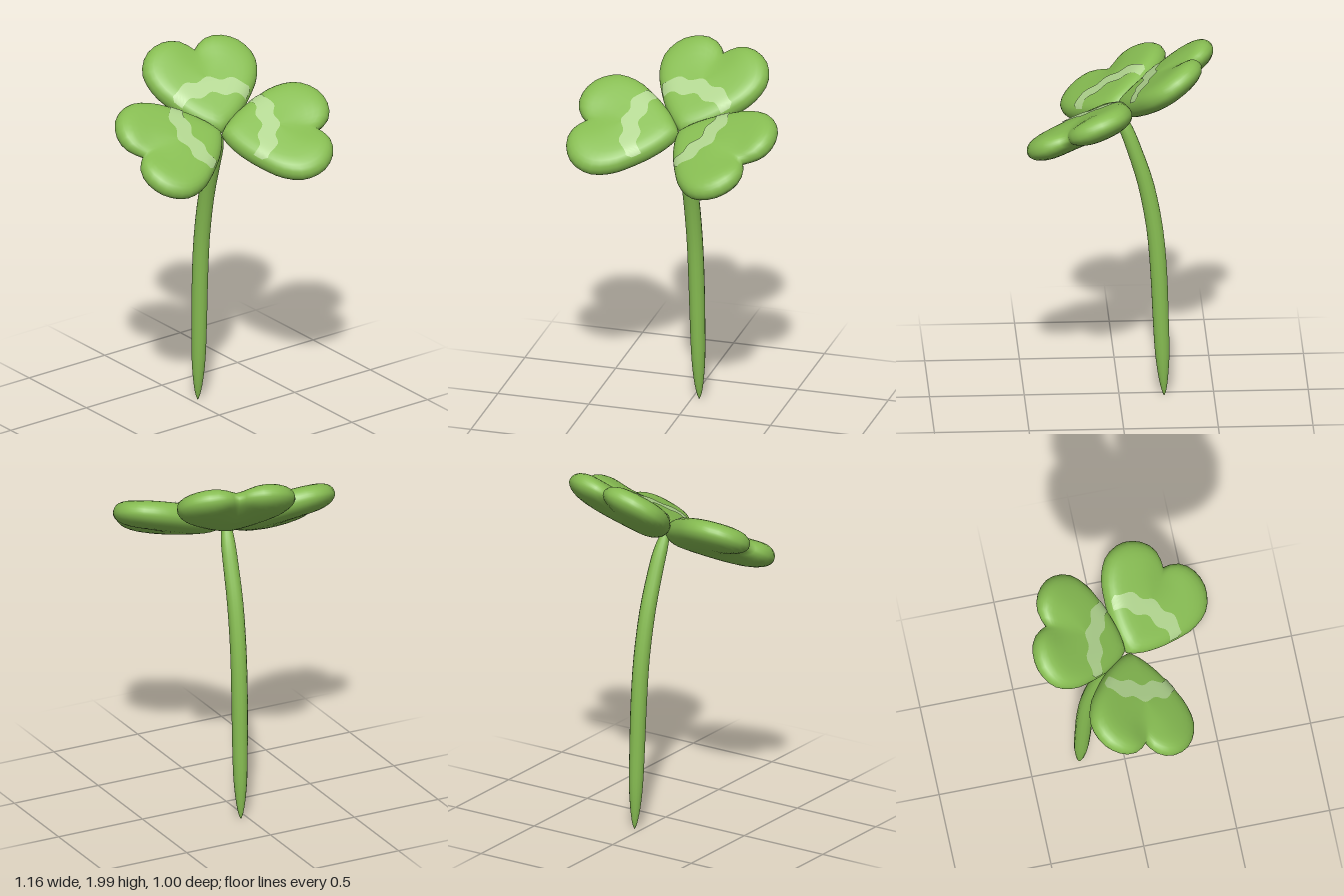
import * as THREE from 'three';

const leafGreen = new THREE.MeshStandardMaterial({ color: 0x87bd52 });
leafGreen.name = 'leafGreen';
const paleGreen = new THREE.MeshStandardMaterial({ color: 0xb0d48e });
paleGreen.name = 'paleGreen';

// Skin a list of rows of points; closed rows wrap around
function loft(rows, closed) {
  const n = rows[0].length, index = [];
  for (let j = 0; j < rows.length - 1; j++) {
    for (let i = 0; i < (closed ? n : n - 1); i++) {
      const a = j * n + i, b = j * n + (i + 1) % n;
      index.push(a, b, a + n, b, b + n, a + n);
    }
  }
  const g = new THREE.BufferGeometry();
  g.setAttribute('position', new THREE.Float32BufferAttribute(rows.flat(2), 3));
  g.setIndex(index);
  g.computeVertexNormals();
  return g;
}

// Half of the heart outline, from the notch round a lobe to the blunt point
const CENTRE = 0.3;
const half = new THREE.CatmullRomCurve3([
  [0.51, 0], [0.565, 0.06], [0.58, 0.15], [0.53, 0.258], [0.42, 0.316],
  [0.3, 0.294], [0.2, 0.23], [0.1, 0.144], [0.03, 0.06], [0, 0],
].map(([s, t]) => new THREE.Vector3(s, t, 0))).getSpacedPoints(20);
const outline = [...half, ...half.slice(1, -1).reverse().map(p => new THREE.Vector3(p.x, -p.y, 0))];

const { smoothstep, lerp } = THREE.MathUtils;

// Height of the puffed leaf; k runs from 0 at the centre to 1 on the rim.
// The upper face is flat with a rolled rim, the underside rounder.
function height(s, t, k, top) {
  const bulge = Math.sqrt(Math.max(0, 1 - k ** (top ? 8 : 4)));
  const valley = 1 - 0.4 * Math.exp(-((t / 0.09) ** 2)) * smoothstep(s, 0.28, 0.52);
  return (top ? 0.07 : -0.08) * bulge * valley;
}

// How far a point of the leaf lies towards the rim
function rimRatio(s, t) {
  const angle = p => Math.atan2(Math.abs(p.y), p.x - CENTRE);
  const a = angle({ x: s, y: t });
  const radius = p => Math.hypot(p.x - CENTRE, p.y);
  for (let i = 0; i < half.length - 1; i++) {
    const a0 = angle(half[i]), a1 = angle(half[i + 1]);
    if (a <= a1) {
      return Math.hypot(s - CENTRE, t) / lerp(radius(half[i]), radius(half[i + 1]), (a - a0) / (a1 - a0));
    }
  }
  return 1;
}

// Shrunken outlines from the underside's centre, round the rim, to the top's centre
function leafGeometry() {
  const ks = [0, 0.2, 0.4, 0.55, 0.68, 0.78, 0.86, 0.92, 0.96, 0.985, 0.996];
  const ring = (k, top) => outline.map(p => {
    const s = CENTRE + (p.x - CENTRE) * k, t = p.y * k;
    return [s, t, height(s, t, k, top)];
  });
  return loft([
    ...ks.map(k => ring(k, false)), ring(1, true), ...ks.reverse().map(k => ring(k, true)),
  ], true);
}

// Wavy pale band lying over the upper face
function bandGeometry() {
  const rows = [];
  for (let j = 0; j <= 32; j++) {
    const a = j / 16 - 1, row = [];
    for (let i = 0; i <= 6; i++) {
      let s = 0.25 - 0.06 * a * a + 0.012 * Math.cos(a * 10) + (i / 6 - 0.5) * 0.095;
      let t = 0.215 * a;
      const k = rimRatio(s, t), fit = Math.min(1, 0.95 / k);
      s = CENTRE + (s - CENTRE) * fit;
      t *= fit;
      row.push([s, t, height(s, t, k * fit, true) + 0.005]);
    }
    rows.push(row);
  }
  return loft(rows, false);
}

// Elliptical rings up a curved stem: y, x, z, half width, half depth
function stemGeometry() {
  const stations = [
    [0.005, 0.038, -0.237, 0.002, 0.002], [0.04, 0.038, -0.236, 0.014, 0.014],
    [0.12, 0.037, -0.232, 0.027, 0.027], [0.25, 0.036, -0.227, 0.037, 0.039],
    [0.45, 0.034, -0.219, 0.041, 0.043], [0.7, 0.031, -0.209, 0.043, 0.045],
    [0.95, 0.027, -0.188, 0.043, 0.045], [1.2, 0.021, -0.142, 0.043, 0.044],
    [1.4, 0.015, -0.08, 0.041, 0.041], [1.52, 0.009, -0.036, 0.037, 0.038],
    [1.61, 0, 0, 0.024, 0.025],
  ];
  const centres = new THREE.CatmullRomCurve3(
    stations.map(([y, x, z]) => new THREE.Vector3(x, y, z)), false, 'catmullrom');
  const radii = new THREE.CatmullRomCurve3(
    stations.map(([, , , rx, rz]) => new THREE.Vector3(rx, 0, rz)), false, 'catmullrom');
  const rows = [];
  for (let j = 0; j <= 30; j++) {
    const c = centres.getPoint(j / 30), r = radii.getPoint(j / 30);
    rows.push(Array.from({ length: 14 }, (_, i) => {
      const a = i / 14 * Math.PI * 2;
      return [c.x + r.x * Math.cos(a), c.y, c.z - r.z * Math.sin(a)];
    }));
  }
  return loft(rows, true);
}

export function createModel() {
  const model = new THREE.Group();
  model.name = 'clover';
  const add = (parent, name, geometry, material) => {
    const mesh = new THREE.Mesh(geometry, material);
    mesh.name = name;
    parent.add(mesh);
  };
  add(model, 'stem', stemGeometry(), leafGreen);

  // Each leaf: position of its point, direction of its length, then of its width
  const leaves = [
    ['rightLeaf', [0, 1.615, 0.01], [-1, 0.025, 0], [0, -0.52, 0.85]],
    ['leftLeaf', [0.005, 1.615, 0.015], [0.84, 0.025, 0.54], [0.48, 0.47, -0.73]],
    ['backLeaf', [0.012, 1.615, -0.008], [0.23, 0.61, -0.755], [-0.98, -0.05, -0.19]],
  ];
  const leaf = leafGeometry(), band = bandGeometry();
  for (const [name, point, along, across] of leaves) {
    const u = new THREE.Vector3(...along).normalize();
    const n = u.clone().cross(new THREE.Vector3(...across)).normalize();
    const v = n.clone().cross(u);
    const group = new THREE.Group();
    group.name = name;
    group.quaternion.setFromRotationMatrix(new THREE.Matrix4().makeBasis(u, v, n));
    group.position.set(...point);
    add(group, name + 'Blade', leaf, leafGreen);
    add(group, name + 'Band', band, paleGreen);
    model.add(group);
  }
  return model;
}
